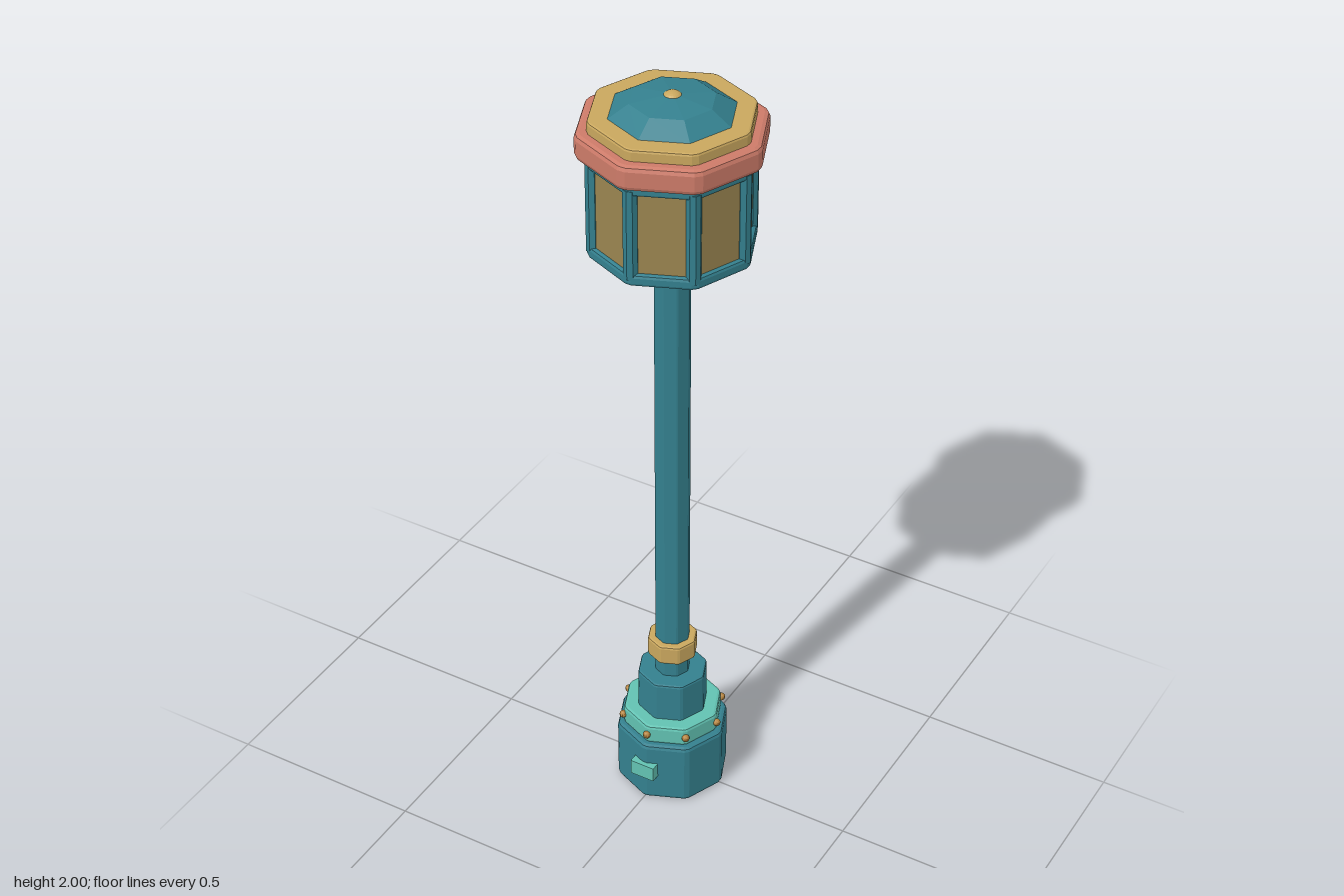
import * as THREE from 'three';

const mat = (name, color) => {
  const m = new THREE.MeshStandardMaterial({ color, flatShading: true });
  m.name = name;
  return m;
};

export function createModel() {
  const teal = mat('teal paint', 0x34808e);
  const mint = mat('mint trim', 0x62c2b2);
  const gold = mat('gold trim', 0xc9a75e);
  const salmon = mat('salmon rim', 0xcd7b69);
  const glass = mat('amber glass', 0x9a8550);
  const copper = mat('copper bolt', 0xb5843f);

  const lamp = new THREE.Group();
  lamp.name = 'streetLamp';

  const add = (name, geometry, material, x = 0, y = 0, z = 0) => {
    const mesh = new THREE.Mesh(geometry, material);
    mesh.name = name;
    mesh.position.set(x, y, z);
    lamp.add(mesh);
    return mesh;
  };

  // Upright octagonal block, a corner on each axis, with chamfered corners and rims
  const octagon = (name, material, radius, y0, y1, bevel) => {
    const r = radius - bevel + bevel * 0.15;
    const corner = (i) => new THREE.Vector2(Math.sin(i * Math.PI / 4), Math.cos(i * Math.PI / 4)).multiplyScalar(r);
    const points = [];
    for (let i = 8; i > 0; i--) {
      points.push(corner(i).lerp(corner(i + 1), 0.05), corner(i).lerp(corner(i - 1), 0.05));
    }
    const geometry = new THREE.ExtrudeGeometry(new THREE.Shape(points), {
      depth: y1 - y0 - 2 * bevel, bevelEnabled: true,
      bevelThickness: bevel, bevelSize: bevel, bevelSegments: 2,
    });
    geometry.translate(0, 0, bevel).rotateX(-Math.PI / 2);
    return add(name, geometry, material, 0, y0, 0);
  };

  // Base and pole
  octagon('base', teal, 0.143, 0.003, 0.177, 0.01);
  octagon('baseRing', mint, 0.127, 0.177, 0.23, 0.008);
  octagon('plinth', teal, 0.089, 0.22, 0.34, 0.006);
  octagon('pole', teal, 0.044, 0.33, 1.56, 0.003);
  octagon('poleCollar', gold, 0.063, 0.392, 0.446, 0.006);
  octagon('neckCollar', mint, 0.068, 1.54, 1.603, 0.006);
  add('plaque', new THREE.BoxGeometry(0.066, 0.042, 0.03), mint, 0, 0.1, 0.14);

  // Lantern body: floor frame, glass, head frame
  octagon('lanternFloor', teal, 0.2, 1.602, 1.632, 0.008);
  octagon('lanternGlass', glass, 0.189, 1.625, 1.845, 0.002);
  octagon('lanternHead', teal, 0.2, 1.836, 1.866, 0.006);

  // Corner posts and ring bolts
  for (let i = 0; i < 8; i++) {
    const sx = Math.sin(i * Math.PI / 4);
    const cz = Math.cos(i * Math.PI / 4);
    const post = add('cornerPost', new THREE.CylinderGeometry(0.018, 0.018, 0.23, 8), teal, sx * 0.184, 1.733, cz * 0.184);
    post.rotation.y = i * Math.PI / 4;
    add('ringBolt', new THREE.SphereGeometry(0.01, 10, 8), copper, sx * 0.13, 0.205, cz * 0.13);
  }

  // Roof
  octagon('roofRim', salmon, 0.224, 1.861, 1.923, 0.012);
  octagon('roofTrim', gold, 0.196, 1.915, 1.951, 0.006);
  const dome = [[0, 1.94], [0.15, 1.94], [0.15, 1.95], [0.1, 1.982], [0.02, 1.992], [0, 1.992]];
  add('roofDome', new THREE.LatheGeometry(dome.map(([x, y]) => new THREE.Vector2(x, y)), 8), teal);
  const finial = add('finial', new THREE.SphereGeometry(0.022, 20, 12), gold, 0, 1.986, 0);
  finial.scale.y = 0.64;

  return lamp;
}
